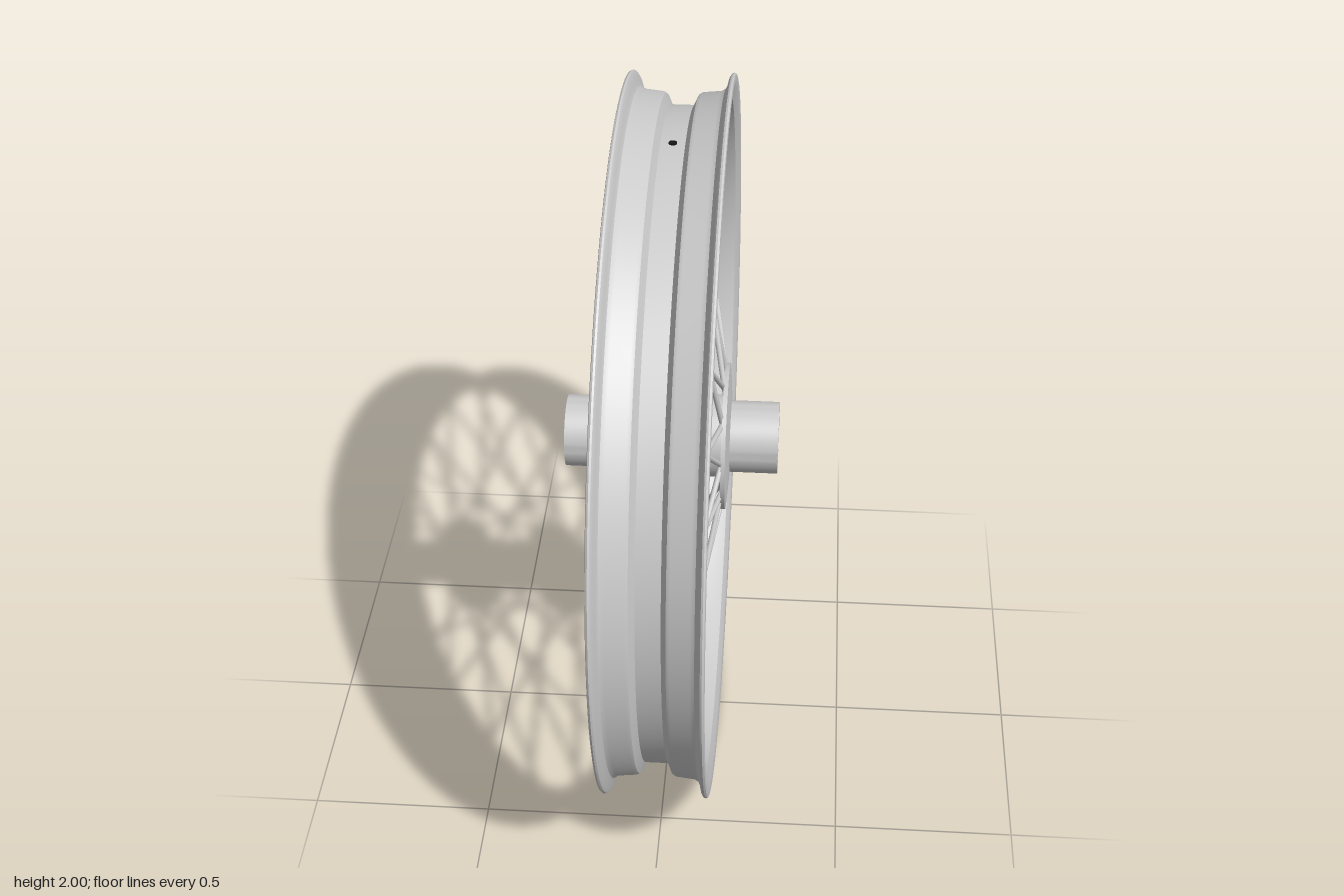
import * as THREE from 'three';
import { toCreasedNormals } from 'three/addons/utils/BufferGeometryUtils.js';

const grey = new THREE.MeshStandardMaterial({ color: 0xcccccc });
const black = new THREE.MeshStandardMaterial({ color: 0x151515 });
const SPOKES = 40;

// Solid of revolution around the x axle; profile is [radius, x], counter-clockwise
function turned(name, profile, segments) {
  const pts = profile.map(([r, x]) => new THREE.Vector2(r, x));
  pts.push(pts[0].clone());
  const geo = new THREE.LatheGeometry(pts, segments).rotateZ(-Math.PI / 2);
  const mesh = new THREE.Mesh(toCreasedNormals(geo, 0.5), grey);
  mesh.name = name;
  return mesh;
}

// Completes a profile half (x > 0, outside to inside) with its mirror image
function mirrored(half) {
  const other = half.map(([r, x]) => [r, -x]).reverse();
  return [...half, ...other];
}

// Straight rod between two points
function rod(name, a, b, radius, material, sides) {
  const dir = b.clone().sub(a);
  const mesh = new THREE.Mesh(new THREE.CylinderGeometry(radius, radius, dir.length(), sides), material);
  mesh.position.copy(a).add(b).multiplyScalar(0.5);
  mesh.quaternion.setFromUnitVectors(new THREE.Vector3(0, 1, 0), dir.normalize());
  mesh.name = name;
  return mesh;
}

// Point on a circle around the axle; angle 0 is +z, growing towards +y
const polar = (x, r, angle) => new THREE.Vector3(x, r * Math.sin(angle), r * Math.cos(angle));

export function createModel() {
  const wheel = new THREE.Group();
  wheel.name = 'wheel';

  // Rim: drop centre, bead seats, rounded lips and sloping underside
  wheel.add(turned('rim', mirrored([
    [0.91, 0.032], [0.918, 0.036], [0.94, 0.046], [0.945, 0.055],
    [0.95, 0.105], [0.957, 0.117], [0.972, 0.124], [0.99, 0.128],
    [0.998, 0.133], [1.0, 0.138], [0.997, 0.143], [0.988, 0.145],
    [0.965, 0.141], [0.935, 0.13],
    [0.918, 0.105], [0.905, 0.075], [0.895, 0.05],
    [0.87, 0.036],
  ]), 128));

  // Hub: hollow barrel with a wider middle and open ends
  wheel.add(turned('hub', mirrored([
    [0.115, 0.15], [0.1, 0.15], [0.1, 0.295], [0.067, 0.295],
  ]), 64));

  // Flanges holding the spokes
  for (const side of [1, -1]) {
    const flange = turned(side > 0 ? 'leftFlange' : 'rightFlange', [
      [0.09, 0.142], [0.205, 0.142], [0.205, 0.154], [0.09, 0.163],
    ], 64);
    if (side < 0) flange.rotation.y = Math.PI;
    wheel.add(flange);
  }

  // Spokes: alternate sides, with crossing pairs on each side
  const spokes = new THREE.Group();
  spokes.name = 'spokes';
  const step = (Math.PI * 2) / SPOKES;
  for (let k = 0; k < SPOKES; k++) {
    const side = k % 2 === 0 ? 1 : -1;
    const lean = k % 4 === 1 || k % 4 === 2 ? 1 : -1;
    const outer = polar(side * 0.018, 0.88, k * step);
    const inner = polar(side * 0.143, 0.18, k * step + lean * step * 3);
    spokes.add(rod('spoke', inner, outer, 0.0075, grey, 10));
  }
  wheel.add(spokes);

  // Valve stem through the top of the rim, with its cap
  const valve = new THREE.Group();
  valve.name = 'valve';
  const up = (y) => new THREE.Vector3(0, y, 0.005);
  valve.add(rod('valveStem', up(0.82), up(0.913), 0.011, black, 16));
  valve.add(rod('valveCap', up(0.76), up(0.84), 0.014, black, 16));
  wheel.add(valve);

  wheel.position.y = 1;
  const model = new THREE.Group();
  model.name = 'spokedWheel';
  model.add(wheel);
  return model;
}
